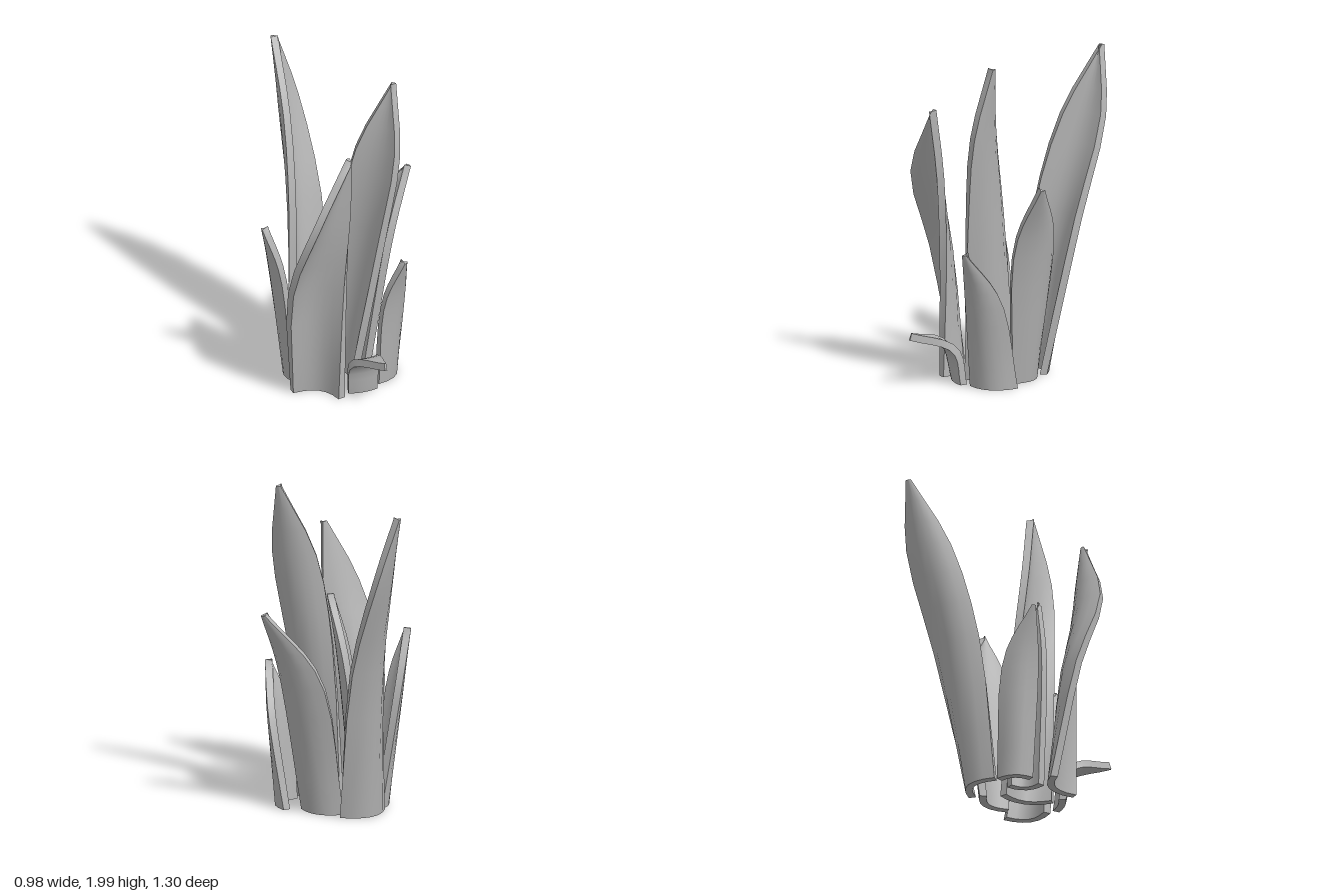
import * as THREE from 'three';
import { toCreasedNormals } from 'three/addons/utils/BufferGeometryUtils.js';

const ACROSS = 6, ROWS = 9, OUTWARD = 0.01, INWARD = -0.035;

// Smooth edge line through a blade's stations
const edge = (points) => new THREE.CatmullRomCurve3(points).getPoints(ROWS);

// One thick curved blade. base: [leftX, leftZ, rightX, rightZ] on the ground,
// seen from the outer side; belly stations put y in front; tip: [x, y, z].
// curl bows the section outward as a share of its width, fading to the tip.
function bladeGeometry({ base, belly, tip, curl }) {
  const stations = [[0, ...base], ...belly];
  const left = stations.map(([y, x, z]) => new THREE.Vector3(x, y, z));
  const right = stations.map(([y, , , x, z]) => new THREE.Vector3(x, y, z));
  // slightly blunt tip
  const blunt = right.at(-1).clone().sub(left.at(-1)).multiplyScalar(0.04);
  const end = new THREE.Vector3(...tip);
  left.push(end.clone().sub(blunt));
  right.push(end.clone().add(blunt));

  const rightEdge = edge(right);
  const middle = edge(left).map((l, j) => {
    const chord = rightEdge[j].clone().sub(l), row = [];
    for (let i = 0; i <= ACROSS; i++) {
      const t = i / ACROSS, bow = curl * (1 - 0.35 * j / ROWS) * 4 * t * (1 - t);
      const p = l.clone().addScaledVector(chord, t);
      row.push(p.add(new THREE.Vector3(-chord.z * bow, 0, chord.x * bow)));
    }
    return row;
  });
  // outer and inner skins: the sheet moved along its normal
  const skin = (offset) => middle.map((row, j) => row.map((p, i) => {
    const across = row[Math.min(i + 1, ACROSS)].clone().sub(row[Math.max(i - 1, 0)]);
    const up = middle[Math.min(j + 1, ROWS)][i].clone().sub(middle[Math.max(j - 1, 0)][i]);
    const q = p.clone().addScaledVector(across.cross(up).normalize(), offset);
    if (j === 0) q.y = 0;
    return q;
  }));
  const outer = skin(OUTWARD), inner = skin(INWARD);

  const ring = 2 * (ACROSS + 1), pos = [], index = [];
  outer.forEach((row, j) => {
    for (const p of [...row, ...inner[j].slice().reverse()]) pos.push(p.x, p.y, p.z);
  });
  const quad = (a, b, c, d) => index.push(a, b, c, a, c, d);
  for (let j = 0; j < ROWS; j++) {
    for (let k = 0; k < ring; k++) {
      const a = j * ring + k, b = j * ring + (k + 1) % ring;
      quad(a, b, b + ring, a + ring);
    }
  }
  // base and tip caps
  const top = ROWS * ring;
  for (let i = 0; i < ACROSS; i++) {
    const n = ring - 1 - i;
    quad(i, n, n - 1, i + 1);
    quad(top + i, top + i + 1, top + n - 1, top + n);
  }
  const geo = new THREE.BufferGeometry();
  geo.setAttribute('position', new THREE.Float32BufferAttribute(pos, 3));
  geo.setIndex(index);
  return toCreasedNormals(geo, 0.75);
}

const LEAVES = {
  tallBackLeaf: { curl: 0.28, base: [0.04, -0.22, -0.26, -0.12], tip: [-0.205, 1.96, -0.635],
    belly: [[0.95, 0.03, -0.44, -0.22, -0.21], [1.55, -0.07, -0.62, -0.205, -0.38]] },
  tallSideLeaf: { curl: 0.2, base: [0.03, 0.28, -0.02, -0.04], tip: [0.305, 1.985, 0.18],
    belly: [[1, 0.21, 0.31, 0.01, 0.04], [1.55, 0.305, 0.3, 0.09, 0.11]] },
  // cupped toward the front, so its outer side faces back
  broadFrontLeaf: { curl: 0.24, base: [-0.07, 0.39, -0.345, 0.215], tip: [-0.055, 1.66, 0.45],
    belly: [[0.75, -0.05, 0.38, -0.4, 0.36], [1.25, -0.035, 0.4, -0.29, 0.52]] },
  sideBackLeaf: { curl: 0.24, base: [0.2, 0.03, 0, -0.16], tip: [0.475, 1.26, -0.08],
    belly: [[0.88, 0.34, 0.05, 0.17, -0.23]] },
  outerLeaf: { curl: 0.22, base: [-0.25, -0.1, -0.3, 0.1], tip: [-0.48, 1.06, 0.08],
    belly: [[0.75, -0.38, -0.08, -0.38, 0.12]] },
  innerLeaf: { curl: 0.25, base: [-0.21, 0.18, -0.15, -0.02], tip: [-0.01, 1.28, 0.19],
    belly: [[0.88, -0.13, 0.21, -0.06, 0.01]] },
  shortSideLeaf: { curl: 0.28, base: [0.18, 0.28, 0.31, 0.03], tip: [0.325, 0.85, 0.36],
    belly: [[0.57, 0.21, 0.32, 0.37, 0.15]] },
  smallFrontLeaf: { curl: 0.08, base: [-0.025, 0.34, 0.155, 0.33], tip: [0.12, 0.3, 0.645],
    belly: [[0.21, -0.025, 0.4, 0.155, 0.38]] },
};

export function createModel() {
  const group = new THREE.Group();
  group.name = 'leafClump';
  const leafGray = new THREE.MeshStandardMaterial({ color: 0xb4b4b4 });
  leafGray.name = 'leafGray';
  for (const [name, leaf] of Object.entries(LEAVES)) {
    const mesh = new THREE.Mesh(bladeGeometry(leaf), leafGray);
    mesh.name = name;
    group.add(mesh);
  }
  return group;
}
